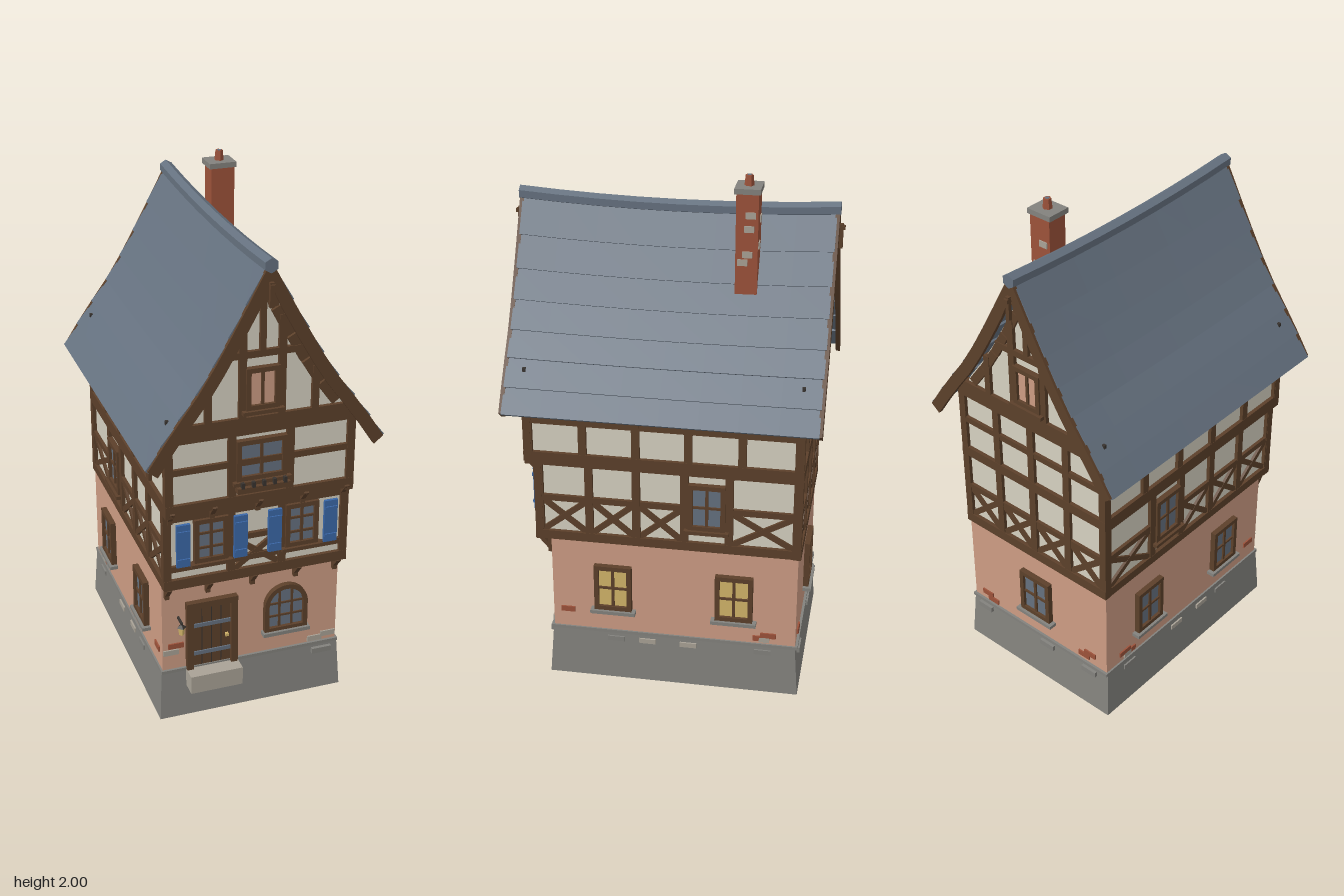
import * as THREE from 'three';

const mat = (name, color, side = THREE.FrontSide) => {
  const m = new THREE.MeshStandardMaterial({ color, side, flatShading: true });
  m.name = name;
  return m;
};

export function createModel() {
  const plaster = mat('plaster', 0xd6d1c1), salmon = mat('salmonPlaster', 0xcd9c84);
  const wood = mat('timber', 0x5c402a), slate = mat('slate', 0x65717f);
  const stone = mat('stone', 0x83827d, THREE.DoubleSide), pale = mat('paleStone', 0xa9a296);
  const brick = mat('brick', 0x9c523a), blue = mat('shutterBlue', 0x3b68a8);
  const amber = mat('litGlass', 0xd2b469), iron = mat('iron', 0x38332f);

  const house = new THREE.Group();
  house.name = 'timberHouse';
  const add = (parent, name, geo, m, x = 0, y = 0, z = 0) => {
    const mesh = new THREE.Mesh(geo, m);
    mesh.name = name;
    mesh.position.set(x, y, z);
    parent.add(mesh);
    return mesh;
  };
  const box = (p, name, m, x, y, z, w, h, d) => add(p, name, new THREE.BoxGeometry(w, h, d), m, x, y, z);
  // Box given by its limits
  const span = (p, name, m, x0, x1, y0, y1, z0, z1) =>
    box(p, name, m, (x0 + x1) / 2, (y0 + y1) / 2, (z0 + z1) / 2, x1 - x0, y1 - y0, z1 - z0);
  // Timber between two points of a facade
  const beam = (p, x0, y0, x1, y1, w = 0.03, d = 0.03) => {
    const b = box(p, 'beam', wood, (x0 + x1) / 2, (y0 + y1) / 2, 0, Math.hypot(x1 - x0, y1 - y0), w, d);
    b.rotation.z = Math.atan2(y1 - y0, x1 - x0);
  };
  const cross = (p, x0, x1, y0, y1) => {
    beam(p, x0, y0, x1, y1, 0.022, 0.022);
    beam(p, x0, y1, x1, y0, 0.022, 0.02);
  };
  // Facade frame: local z points outwards
  const facade = (name, angle, dist) => {
    const g = new THREE.Group();
    g.name = name;
    g.rotation.y = angle;
    g.position.set(Math.sin(angle) * dist, 0, Math.cos(angle) * dist);
    house.add(g);
    return g;
  };
  const windowAt = (p, x, y, w, h, glass, rows = 2, sill = stone) => {
    const g = new THREE.Group();
    g.name = 'window';
    g.position.set(x, y, 0);
    p.add(g);
    box(g, 'glass', glass, 0, 0, 0.006, w - 0.02, h - 0.02, 0.008);
    for (const s of [-1, 1]) {
      box(g, 'frameSide', wood, s * (w / 2 - 0.009), 0, 0.006, 0.018, h, 0.032);
      box(g, 'frameRail', wood, 0, s * (h / 2 - 0.009), 0.006, w, 0.018, 0.032);
    }
    box(g, 'mullion', wood, 0, 0, 0.01, 0.011, h, 0.014);
    for (let i = 1; i < rows; i++) box(g, 'glazingBar', wood, 0, h * (i / rows - 0.5), 0.01, w, 0.009, 0.013);
    box(g, 'sill', sill, 0, -h / 2 - 0.006, 0.012, w + 0.03, 0.014, 0.042);
  };

  // Plinth, open underneath, with a ledge
  const plinth = new THREE.CylinderGeometry(Math.SQRT2 * 0.97, Math.SQRT2, 0.2, 4, 1, true);
  plinth.rotateY(Math.PI / 4).scale(0.37, 1, 0.49);
  add(house, 'plinth', plinth, stone, 0, 0.1, -0.04);
  span(house, 'plinthLedge', stone, -0.36, 0.36, 0.199, 0.212, -0.525, 0.442);

  // Roof profile from ridge to eaves, used for gable, courses and bargeboards
  const P = [[0, 1.87], [0.08, 1.72], [0.14, 1.61], [0.197, 1.51], [0.257, 1.415], [0.32, 1.33], [0.384, 1.24], [0.44, 1.155]];
  const mirrorShape = pts => new THREE.Shape(
    [...pts.map(([x, y]) => new THREE.Vector2(x, y)), ...pts.slice().reverse().map(([x, y]) => new THREE.Vector2(-x, y))]);
  const extrude = (shape, depth) => new THREE.ExtrudeGeometry(shape, { depth, bevelEnabled: false });

  // Wall bodies
  span(house, 'groundWalls', salmon, -0.353, 0.353, 0.205, 0.61, -0.515, 0.432);
  span(house, 'middleWalls', plaster, -0.345, 0.345, 0.605, 0.96, -0.51, 0.475);
  const gable = [[0.345, 0.93], [0.345, 1.22], ...P.slice(1, 6).reverse().map(([x, y]) => [x - 0.022, y - 0.022]), [0.002, 1.81]];
  add(house, 'upperWalls', extrude(mirrorShape(gable), 1.02), plaster, 0, 0, -0.51);

  // Gable ends, shared by front and back
  const gableTimbers = g => {
    beam(g, -0.36, 1.245, 0.36, 1.245, 0.065);
    beam(g, -0.15, 1.515, 0.15, 1.515, 0.025);
    beam(g, 0, 1.52, 0, 1.8, 0.022);
    beam(g, -0.07, 1.3, 0.07, 1.3, 0.02);
    for (const s of [-1, 1]) {
      beam(g, s * 0.073, 1.27, s * 0.073, 1.65, 0.028);
      beam(g, s * 0.2, 1.27, s * 0.2, 1.44, 0.026);
      for (let i = 0; i < 5; i++) {
        const [a, b] = [P[i], P[i + 1]];
        beam(g, s * Math.max(0, a[0] - 0.035), a[1] - 0.045, s * (b[0] - 0.04), b[1] - 0.04, 0.035, 0.024);
      }
    }
    windowAt(g, 0, 1.385, 0.125, 0.16, salmon, 1, wood);
  };

  // Upper storey: corner posts, sill beam, rail
  const storey = (g, half, posts, y0, y1, rail) => {
    beam(g, -half, y0, half, y0, 0.04);
    beam(g, -half, y1, half, y1, 0.04);
    if (rail) beam(g, -half, rail, half, rail, 0.024, 0.026);
    for (const x of posts) beam(g, x, y0, x, y1, 0.03, 0.028);
  };

  // Front, top storey
  const frontTop = facade('frontUpperStorey', 0, 0.51);
  storey(frontTop, 0.36, [-0.345, -0.11, 0.11, 0.345], 0.95, 1.23, 1.1);
  gableTimbers(frontTop);
  windowAt(frontTop, 0, 1.11, 0.19, 0.16, slate, 2, wood);
  box(frontTop, 'flowerBox', wood, 0, 1.005, 0.03, 0.2, 0.022, 0.035);
  for (let i = -2; i <= 2; i++) box(frontTop, 'boxRail', iron, i * 0.04, 1.025, 0.042, 0.012, 0.022, 0.014);

  // Front, middle storey with shuttered windows
  const frontMid = facade('frontMiddleStorey', 0, 0.475);
  storey(frontMid, 0.36, [-0.345, -0.1, 0.1, 0.345], 0.62, 0.92, 0.685);
  beam(frontMid, -0.36, 0.895, 0.36, 0.895, 0.024);
  beam(frontMid, -0.1, 0.775, 0.1, 0.775, 0.022);
  cross(frontMid, -0.09, 0.09, 0.64, 0.77);
  for (const x of [-0.178, 0.175]) {
    windowAt(frontMid, x, 0.79, 0.13, 0.18, slate, 3, wood);
    for (const s of [-1, 1]) {
      box(frontMid, 'shutter', blue, x + s * 0.11, 0.788, 0.024, 0.052, 0.175, 0.012);
      for (const y of [0.73, 0.845]) box(frontMid, 'shutterBatten', blue, x + s * 0.11, y, 0.032, 0.046, 0.012, 0.006);
    }
  }

  // Jetty brackets below both overhangs
  for (const x of [-0.335, -0.175, 0, 0.175, 0.335]) {
    for (const [y, z] of [[0.57, 0.45], [0.915, 0.497]]) {
      box(house, 'bracketPost', wood, x, y - 0.005, z - 0.012, 0.018, 0.06, 0.02);
      box(house, 'bracketBrace', wood, x, y + 0.005, z + 0.008, 0.018, 0.06, 0.016).rotation.x = 0.7;
    }
  }

  // Back, both timbered storeys
  const back = facade('backTimbering', Math.PI, 0.51);
  const backPosts = [-0.345, -0.172, 0, 0.172, 0.345];
  storey(back, 0.36, backPosts, 0.62, 0.95, 0.78);
  storey(back, 0.36, backPosts, 0.95, 1.23, 1.1);
  for (let i = 0; i < 4; i++) cross(back, backPosts[i] + 0.012, backPosts[i + 1] - 0.012, 0.64, 0.77);
  gableTimbers(back);

  // Both long sides; k turns depth into the facade's own x
  for (const k of [-1, 1]) {
    const side = facade(k < 0 ? 'leftTimbering' : 'rightTimbering', k * Math.PI / 2, 0.345);
    const u = z => -k * z;
    const row = (zs, y0, y1) => zs.forEach(z => beam(side, u(z), y0, u(z), y1, 0.03, 0.028));
    const mid = [0.47, 0.28, 0.1, -0.083, -0.252, -0.505];
    row(mid, 0.61, 0.95);
    row([0.505, 0.3, 0.1, -0.097, -0.297, -0.505], 0.95, 1.22);
    beam(side, u(0.488), 0.62, u(-0.522), 0.62, 0.036);
    beam(side, u(0.522), 0.945, u(-0.522), 0.945, 0.052);
    beam(side, u(0.488), 0.78, u(-0.085), 0.78, 0.024, 0.026);
    beam(side, u(-0.25), 0.78, u(-0.522), 0.78, 0.024, 0.026);
    beam(side, u(0.522), 1.1, u(-0.522), 1.1, 0.024, 0.026);
    beam(side, u(0.522), 1.2, u(-0.522), 1.2, 0.06);
    [0, 1, 2, 4].forEach(i => {
      const e = [u(mid[i] - 0.012), u(mid[i + 1] + 0.012)];
      cross(side, Math.min(...e), Math.max(...e), 0.64, 0.77);
    });
    windowAt(side, u(-0.168), 0.79, 0.14, 0.19, slate, 2, wood);

    const ground = facade(k < 0 ? 'leftGroundFloor' : 'rightGroundFloor', k * Math.PI / 2, 0.353);
    for (const z of [0.193, -0.276]) windowAt(ground, u(z), 0.408, 0.145, 0.195, k > 0 ? amber : slate);
    for (const [z, y, w, m] of [[0.375, 0.29, 0.055, brick], [-0.37, 0.235, 0.04, brick], [-0.41, 0.25, 0.06, brick],
      [-0.395, 0.23, 0.04, pale]]) box(ground, 'exposedBrick', m, u(z), y, 0.002, w, 0.022, 0.008);
    for (const [z, m] of [[0.185, stone], [0.06, pale], [-0.1, pale], [-0.39, stone]])
      box(ground, 'plinthStone', m, u(z), 0.177, 0.008, 0.065, 0.02, 0.01);
  }

  // Back ground floor
  const backGround = facade('backGroundFloor', Math.PI, 0.515);
  windowAt(backGround, 0, 0.408, 0.15, 0.195, slate);
  for (const [x, y] of [[0.27, 0.26], [0.24, 0.24], [-0.28, 0.25], [-0.25, 0.23]])
    box(backGround, 'exposedBrick', brick, x, y, 0.002, 0.055, 0.022, 0.008);
  for (const x of [-0.29, 0.05, 0.27]) box(backGround, 'plinthStone', stone, x, 0.177, 0.01, 0.07, 0.022, 0.012);

  // Front ground floor: door, step, arched window, lantern
  const front = facade('frontGroundFloor', 0, 0.432);
  span(front, 'doorLeaf', wood, -0.235, -0.085, 0.205, 0.48, -0.01, 0.006);
  for (const x of [-0.248, -0.072]) box(front, 'doorJamb', wood, x, 0.353, 0.006, 0.026, 0.295, 0.034);
  box(front, 'doorLintel', wood, -0.16, 0.488, 0.006, 0.2, 0.026, 0.036);
  for (const y of [0.268, 0.392]) box(front, 'doorBand', slate, -0.16, y, 0.008, 0.15, 0.016, 0.006);
  for (const x of [-0.198, -0.16, -0.122]) box(front, 'plankGap', iron, x, 0.34, 0.006, 0.003, 0.27, 0.002);
  box(front, 'doorKnob', amber, -0.1, 0.33, 0.012, 0.012, 0.012, 0.012);
  span(front, 'doorStep', pale, -0.262, -0.055, 0.13, 0.205, -0.03, 0.07);

  const arch = (w, y0, spring) => {
    const s = new THREE.Shape();
    s.moveTo(-w, y0).lineTo(w, y0).lineTo(w, spring).absarc(0, spring, w, 0, Math.PI, false).lineTo(-w, y0);
    return s;
  };
  const archFrame = arch(0.087, 0.305, 0.42);
  archFrame.holes.push(arch(0.069, 0.322, 0.42));
  add(front, 'archFrame', extrude(archFrame, 0.03), wood, 0.138, 0, -0.008);
  add(front, 'archGlass', extrude(arch(0.072, 0.32, 0.42), 0.008), slate, 0.138, 0, 0);
  for (const x of [-0.025, 0.025]) box(front, 'archMullion', wood, 0.138 + x, 0.4, 0.009, 0.009, 0.16, 0.008);
  for (const y of [0.37, 0.425]) box(front, 'archBar', wood, 0.138, y, 0.009, 0.14, 0.008, 0.008);
  box(front, 'archSill', stone, 0.138, 0.3, 0.012, 0.19, 0.015, 0.042);

  box(front, 'lanternArm', iron, -0.29, 0.44, 0.022, 0.008, 0.008, 0.06);
  add(front, 'lanternRoof', new THREE.ConeGeometry(0.019, 0.015, 4), iron, -0.29, 0.43, 0.045);
  add(front, 'lanternGlass', new THREE.CylinderGeometry(0.014, 0.01, 0.032, 4), amber, -0.29, 0.407, 0.045);
  for (const [x, y, m] of [[-0.3, 0.315, brick], [-0.32, 0.288, pale], [0.265, 0.228, pale], [0.32, 0.24, pale]])
    box(front, 'exposedBrick', m, x, y, 0.002, 0.06, 0.022, 0.008);
  box(front, 'plinthStone', stone, 0.29, 0.177, 0.015, 0.08, 0.022, 0.014);

  // Roof courses sag gently between the gables
  const sag = geo => {
    const p = geo.attributes.position;
    for (let i = 0; i < p.count; i++) {
      const t = p.getZ(i) / 0.585;
      p.setY(i, p.getY(i) - 0.022 * Math.max(0, (p.getY(i) - 1.15) / 0.72) * (1 - t * t));
    }
    geo.computeVertexNormals();
    return geo;
  };
  for (const s of [-1, 1]) {
    for (let i = 0; i < 7; i++) {
      const [ax, ay] = P[i], [bx, by] = [P[i + 1][0] + 0.007, P[i + 1][1] + 0.004];
      const g = new THREE.BoxGeometry(Math.hypot(bx - ax, by - ay), 0.018, 1.156, 1, 1, 8);
      g.translate(0, -0.009, 0).rotateZ(s * Math.atan2(by - ay, bx - ax));
      g.translate(s * (ax + bx) / 2, (ay + by) / 2, 0);
      add(house, 'roofCourse', sag(g), slate);
    }
    for (const z of [-0.51, 0.51]) box(house, 'roofHook', iron, s * 0.346, 1.298, z, 0.012, 0.014, 0.012);
  }
  const ridge = new THREE.CylinderGeometry(0.027, 0.027, 1.18, 6, 8);
  ridge.rotateX(Math.PI / 2).translate(0, 1.856, 0);
  add(house, 'ridgeCap', sag(ridge), slate);

  // Bargeboards and gable pins
  const outer = P.slice().reverse().map(([x, y]) => [x, y + 0.004]);
  const inner = P.slice(1).map(([x, y]) => [x - 0.036, y - 0.025]);
  const boardShape = new THREE.Shape([
    ...outer, ...P.slice(1).map(([x, y]) => [-x, y + 0.004]),
    ...inner.slice().reverse().map(([x, y]) => [-x, y]), [0, 1.79], ...inner,
  ].map(([x, y]) => new THREE.Vector2(x, y)));
  for (const s of [-1, 1]) {
    add(house, 'bargeboard', extrude(boardShape, 0.016), wood, 0, 0, s * 0.58 - 0.008);
    box(house, 'gablePin', wood, 0, 1.755, s * 0.594, 0.016, 0.09, 0.014);
    box(house, 'gablePinHead', wood, 0, 1.787, s * 0.598, 0.018, 0.014, 0.02);
  }

  // Chimney with cap, pot and weathered bricks
  span(house, 'chimney', brick, 0.07, 0.16, 1.53, 1.945, -0.312, -0.232);
  box(house, 'chimneyCap', stone, 0.113, 1.952, -0.272, 0.106, 0.02, 0.094);
  add(house, 'chimneyPot', new THREE.CylinderGeometry(0.014, 0.018, 0.04, 6), brick, 0.113, 1.98, -0.272);
  add(house, 'potOpening', new THREE.CylinderGeometry(0.009, 0.009, 0.002, 6), slate, 0.113, 2, -0.272);
  for (const [y, z] of [[1.865, -0.285], [1.815, -0.28], [1.72, -0.275], [1.69, -0.258]])
    box(house, 'chimneyBrick', pale, 0.16, y, z, 0.008, 0.024, 0.036);
  for (const [y, x] of [[1.84, 0.1], [1.75, 0.13]])
    box(house, 'chimneyBrick', pale, x, y, -0.312, 0.036, 0.024, 0.008);

  return house;
}
